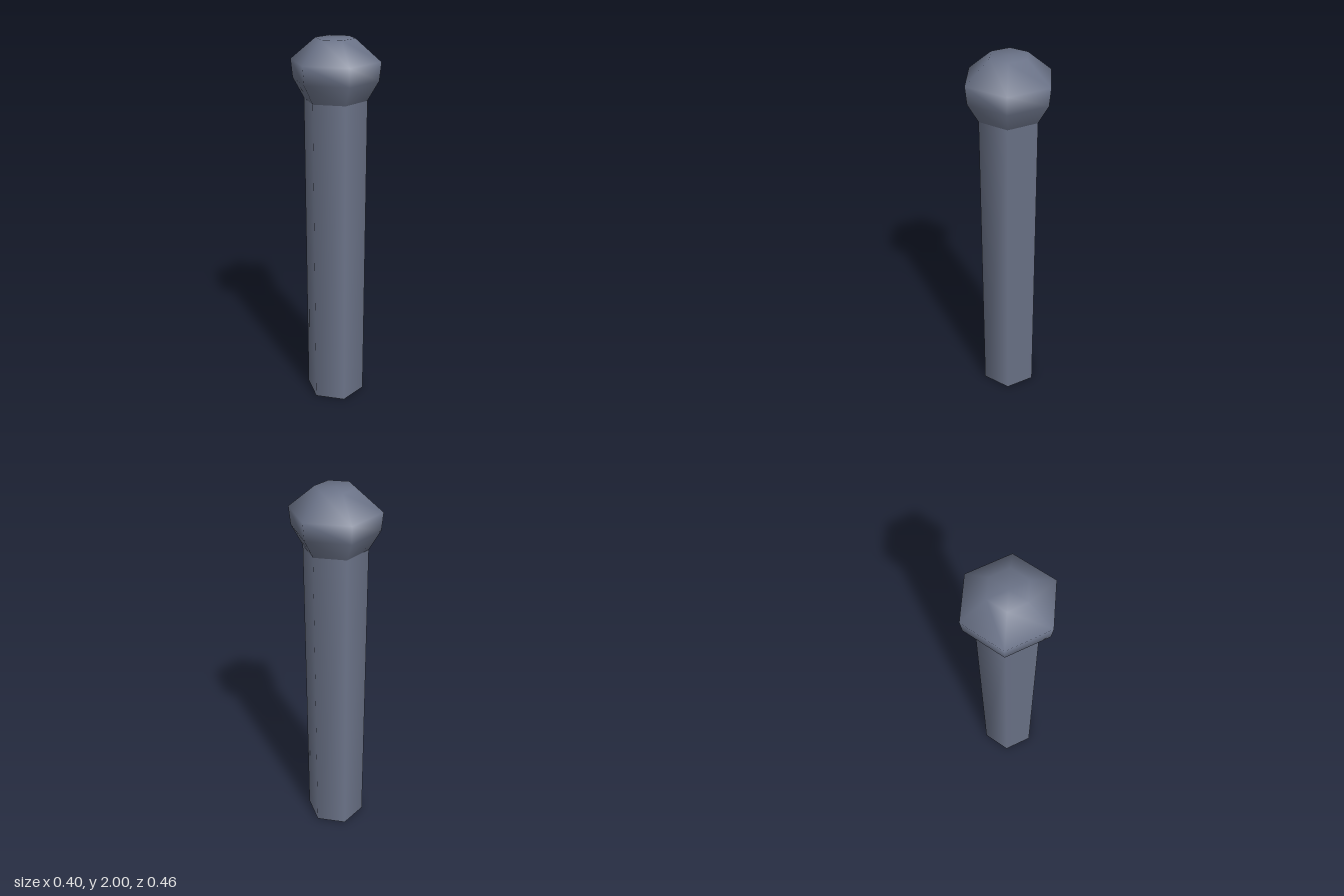
import * as THREE from 'three';

const SIDES = 6;

export function createModel() {
  const group = new THREE.Group();
  group.name = 'post';
  const material = new THREE.MeshStandardMaterial({ color: 0x6b7388 });

  // Six-sided shaft with smooth sides and a flat base
  const shaftTop = 1.7;
  const shaft = new THREE.Mesh(
    new THREE.CylinderGeometry(0.163, 0.163, shaftTop, SIDES),
    material
  );
  shaft.name = 'shaft';
  shaft.position.y = shaftTop / 2;
  group.add(shaft);

  // Rounded knob, smooth across its rings and over the top
  const profile = [
    [0.163, shaftTop],
    [0.22, 1.8],
    [0.229, 1.892],
    [0.1, 2],
    [0, 2],
  ].map(([r, y]) => new THREE.Vector2(r, y));
  const knob = new THREE.Mesh(new THREE.LatheGeometry(profile, SIDES), material);
  knob.name = 'knob';
  group.add(knob);

  return group;
}
